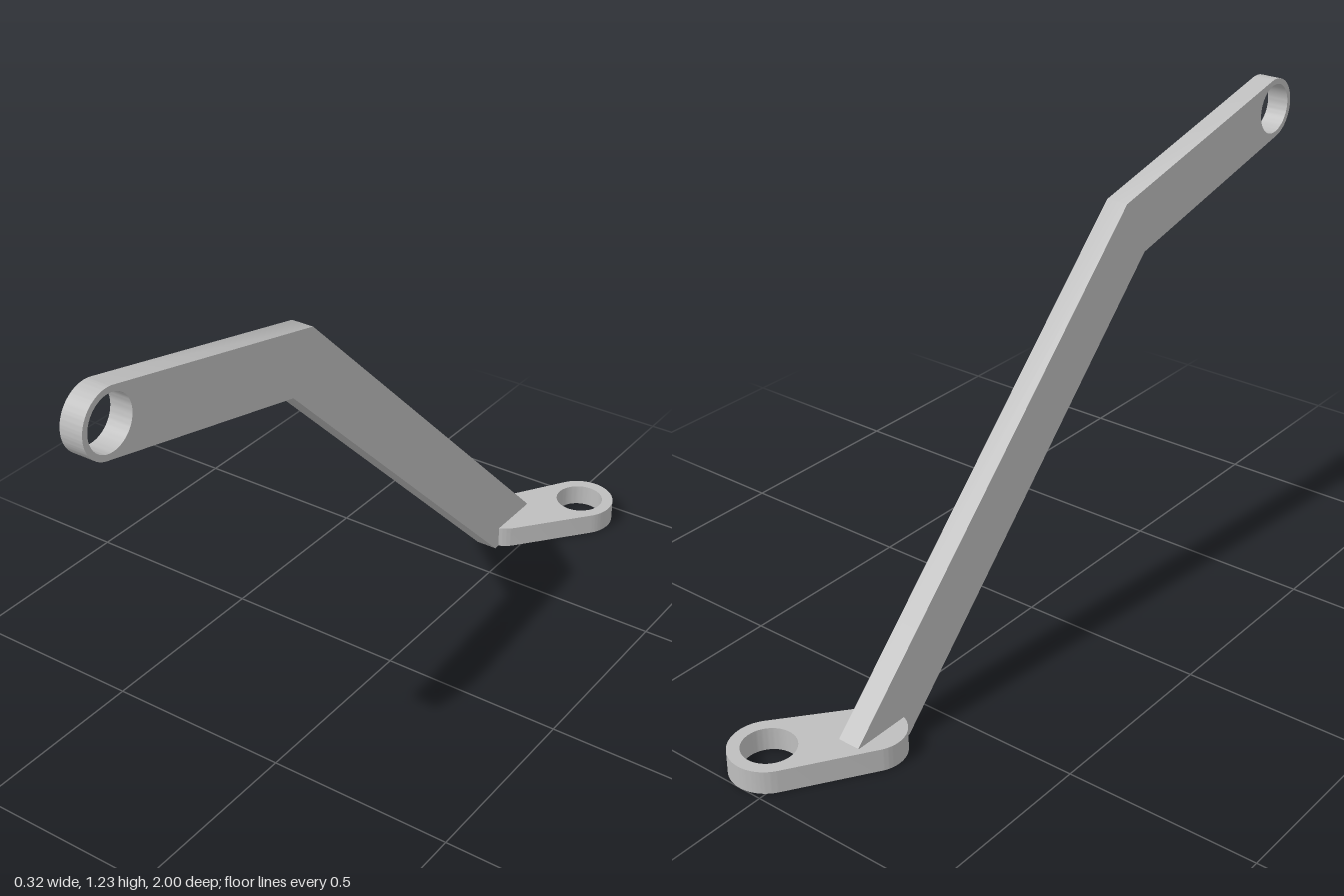
import * as THREE from 'three';
import { toCreasedNormals } from 'three/addons/utils/BufferGeometryUtils.js';

const THICKNESS = 0.06;

// Flat plate with one round hole, extruded and keeping its rims sharp
function plate(shape, holeX, holeY, holeRadius) {
  const hole = new THREE.Path();
  hole.absarc(holeX, holeY, holeRadius, 0, Math.PI * 2, true);
  shape.holes.push(hole);
  const geometry = new THREE.ExtrudeGeometry(shape, {
    depth: THICKNESS, bevelEnabled: false, curveSegments: 32,
  });
  return toCreasedNormals(geometry, 0.6);
}

// Outline of two circles joined by their outer tangents
function linkShape(ax, ay, ar, bx, by, br) {
  const dir = Math.atan2(by - ay, bx - ax);
  const open = Math.acos((ar - br) / Math.hypot(bx - ax, by - ay));
  const shape = new THREE.Shape();
  shape.absarc(ax, ay, ar, dir + open, dir - open + Math.PI * 2, false);
  shape.absarc(bx, by, br, dir - open, dir + open, false);
  shape.closePath();
  return shape;
}

// Bent arm profile, drawn as (z, y), with a rounded eye at the upper end
function armShape(eyeZ, eyeY, eyeRadius) {
  const shape = new THREE.Shape();
  shape.moveTo(0.238, 1.082);
  shape.lineTo(-0.788, 0.062);
  shape.lineTo(-0.66, 0.002);
  shape.lineTo(-0.613, 0);
  shape.lineTo(0.319, 0.932);
  shape.absarc(eyeZ, eyeY, eyeRadius, -1.345, 1.79, false);
  shape.closePath();
  return shape;
}

export function createModel() {
  const group = new THREE.Group();
  group.name = 'bentBracket';
  const metal = new THREE.MeshStandardMaterial({ color: 0xbebebe });
  metal.name = 'light grey metal';

  // Upright arm, turned so its profile lies in the z-y plane
  const armGeometry = plate(armShape(0.918, 1.153, 0.082), 0.918, 1.153, 0.067);
  armGeometry.rotateY(-Math.PI / 2).translate(-0.05, 0, 0);
  const arm = new THREE.Mesh(armGeometry, metal);
  arm.name = 'bentArm';

  // Mounting foot lying flat, drawn as (x, -z)
  const footGeometry = plate(
    linkShape(-0.08, 0.71, 0.085, 0.062, 0.903, 0.098), 0.062, 0.903, 0.067);
  footGeometry.rotateX(-Math.PI / 2);
  const foot = new THREE.Mesh(footGeometry, metal);
  foot.name = 'mountingFoot';

  group.add(arm, foot);
  return group;
}
